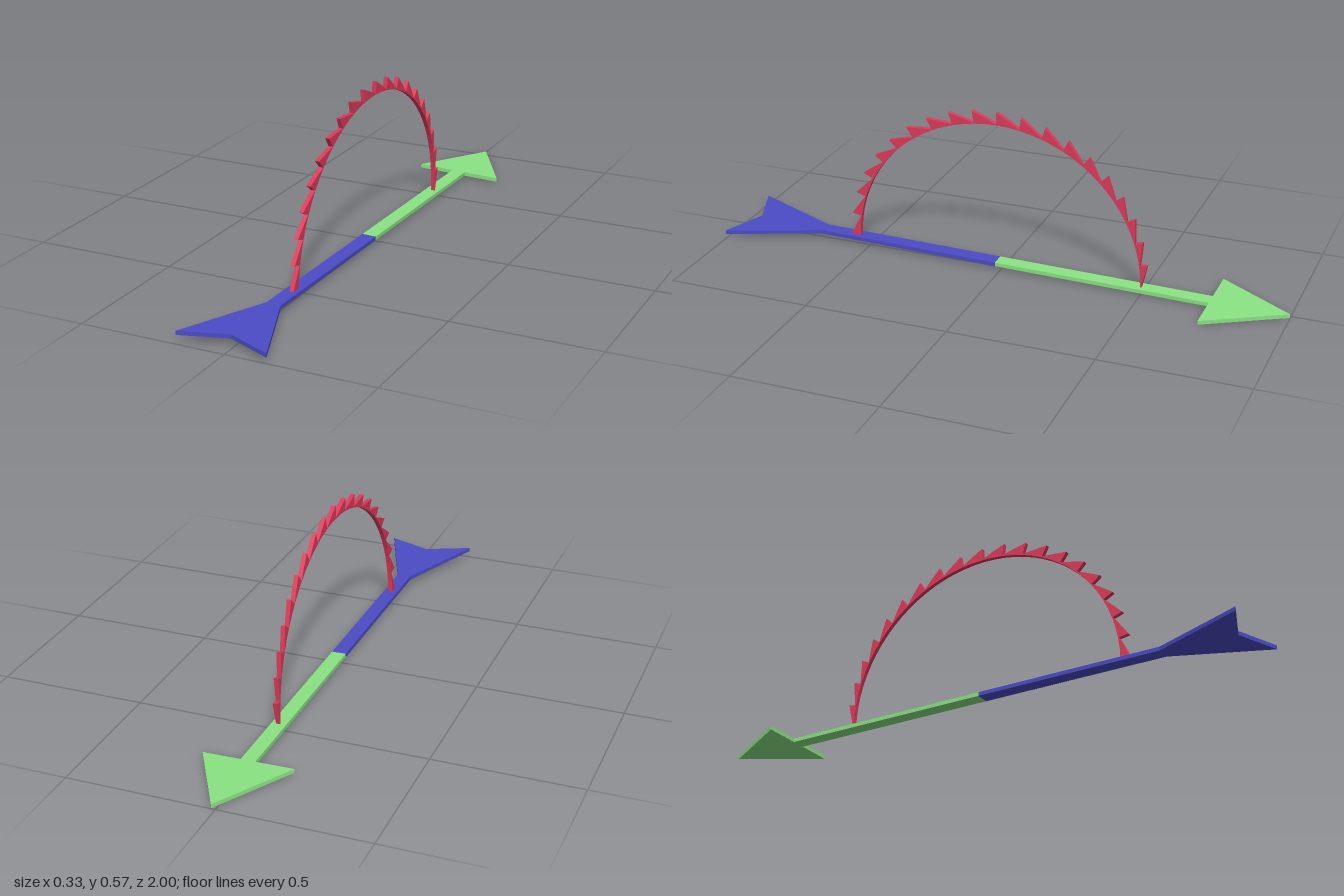
import * as THREE from 'three';

const blue = new THREE.MeshStandardMaterial({ name: 'blue', color: 0x4b4bc6 });
const green = new THREE.MeshStandardMaterial({ name: 'green', color: 0x8ae383 });
const red = new THREE.MeshStandardMaterial({ name: 'red', color: 0xde3a5a });

const THICK = 0.0135;

// Flat horizontal plate, mirrored about x = 0 from its right-hand outline of [x, z] points
function plate(name, half, material) {
  const left = half.filter(([x]) => x > 0).reverse().map(([x, z]) => [-x, z]);
  const pts = [...half, ...left].map(([x, z]) => new THREE.Vector2(x, -z));
  const geo = new THREE.ExtrudeGeometry(new THREE.Shape(pts), { depth: THICK, bevelEnabled: false });
  geo.rotateX(-Math.PI / 2).translate(0, -THICK / 2, 0);
  const mesh = new THREE.Mesh(geo, material);
  mesh.name = name;
  return mesh;
}

// Thin upright half ring whose outer edge is a row of saw teeth
function toothedArch() {
  const teeth = 20, width = 0.015, thin = 0.003;
  const at = (t, out) => new THREE.Vector2(
    -0.02 - (0.515 + out) * Math.cos(Math.PI * t),
    0.006 + (0.503 + out) * Math.sin(Math.PI * t));
  const outer = [], inner = [];
  for (let i = 0; i < teeth; i++) {
    const t = i / teeth;
    const height = 0.035 + 0.015 * Math.sin(Math.PI * t) - 0.01 * t;
    outer.push(at(t, thin), at(t, height), at(t + 0.5 / teeth, height / 2));
    inner.push(at(t, 0), at(t + 0.5 / teeth, 0));
  }
  outer.push(at(1, thin));
  inner.push(at(1, 0));
  const shape = new THREE.Shape([...outer, ...inner.reverse()]);
  const geo = new THREE.ExtrudeGeometry(shape, { depth: width, bevelEnabled: false });
  geo.rotateY(Math.PI / 2).translate(-width / 2 + 0.002, 0, 0);
  const mesh = new THREE.Mesh(geo, red);
  mesh.name = 'toothedArch';
  return mesh;
}

export function createModel() {
  const model = new THREE.Group();
  model.name = 'arrowWithArch';

  // Everything shares one slight tilt
  const tilted = new THREE.Group();
  tilted.name = 'tiltedArrow';
  tilted.position.set(0, 0.0195, 0);
  tilted.rotation.set(-0.0105, -0.0137, -0.027);

  // Pointed half of the arrow, at the back of the model
  tilted.add(plate('arrowHead', [[0, -1], [0.155, -0.735], [0.025, -0.735], [0.025, 0.02]], green));
  // Shaft and notched tail
  tilted.add(plate('arrowTail', [[0.025, 0.02], [0.025, 0.68], [0.155, 0.996], [0, 0.935]], blue));
  tilted.add(toothedArch());

  model.add(tilted);
  return model;
}
